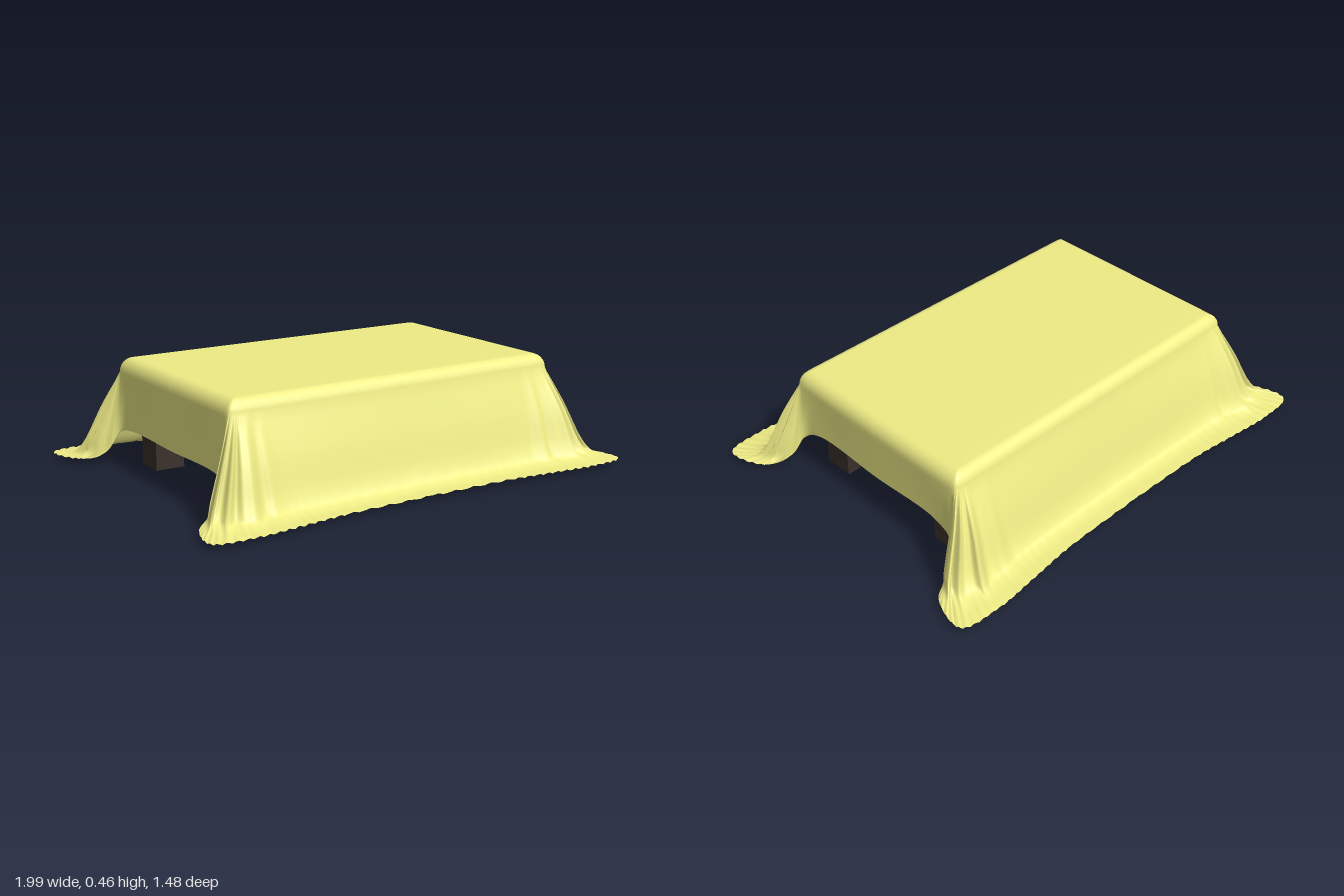
import * as THREE from 'three';
import { mergeVertices } from 'three/addons/utils/BufferGeometryUtils.js';

const TOP = 0.463, SEG = 14, ARC = 6, DROP = 18;

// Hanging lines of one cloth corner, from the middle of the side to the middle of the front.
// Each line: shoulder, middle, low, hem. sideHem is the height of the short side flap.
function hangingLines(sideHem) {
  const flap = (z) => [[0.78, 0.4, z], [0.78, 0.32, z], [0.78, 0.25, z], [0.78, sideHem, z]];
  return [
    flap(0),
    flap(0.36),
    [[0.78, 0.4, 0.43], [0.785, 0.3, 0.43], [0.79, 0.2, 0.44], [0.79, 0.14, 0.45]],
    [[0.779, 0.4, 0.455], [0.795, 0.28, 0.465], [0.825, 0.13, 0.475], [0.87, 0.035, 0.5]],
    [[0.776, 0.4, 0.467], [0.825, 0.27, 0.495], [0.89, 0.11, 0.525], [0.95, 0.025, 0.55]],
    [[0.765, 0.4, 0.475], [0.825, 0.25, 0.525], [0.9, 0.06, 0.58], [0.99, 0.022, 0.715]],
    [[0.74, 0.4, 0.48], [0.77, 0.24, 0.555], [0.8, 0.05, 0.63], [0.82, 0.022, 0.742]],
    [[0.62, 0.4, 0.481], [0.62, 0.24, 0.54], [0.61, 0.05, 0.605], [0.62, 0.022, 0.725]],
    [[0.4, 0.4, 0.481], [0.4, 0.24, 0.535], [0.4, 0.05, 0.595], [0.4, 0.022, 0.703]],
    [[0, 0.4, 0.481], [0, 0.24, 0.53], [0, 0.05, 0.59], [0, 0.022, 0.696]]
  ];
}

function clothGeometry() {
  const position = [], index = [];
  for (const sx of [1, -1]) for (const sz of [1, -1]) {
    const lines = hangingLines(sx > 0 ? 0.188 : 0.16);
    const guides = [0, 1, 2, 3].map((k) =>
      new THREE.CatmullRomCurve3(lines.map((l) => new THREE.Vector3(...l[k]))));
    const columns = (lines.length - 1) * SEG;
    const rows = 1 + ARC + DROP;
    const base = position.length / 3;

    for (let i = 0; i <= columns; i++) {
      const u = i / columns;
      const [shoulder, middle, low, hem] = guides.map((g) => g.getPoint(u));
      // the cloth breaks where it meets the floor
      const foot = low.clone().lerp(hem, 0.35);
      foot.y = THREE.MathUtils.lerp(low.y, hem.y, 0.75);
      const fall = new THREE.CatmullRomCurve3([shoulder, middle, low, foot, hem]);
      const rim = new THREE.Vector3(Math.min(shoulder.x, 0.725), TOP, Math.min(shoulder.z, 0.43));

      // gathered pleats round the corner, fading into the flat flaps
      const c = u * (lines.length - 1);
      const gather = THREE.MathUtils.smoothstep(c, 2.6, 4) * (1 - THREE.MathUtils.smoothstep(c, 6, 7.4));
      const pleat = gather * (Math.sin(c * 8.5 + sx * 0.6) + 0.5 * Math.sin(c * 15 + sz));
      const ripple = THREE.MathUtils.smoothstep(c, 3.2, 4.5) * Math.sin(c * 9 * Math.PI) * 0.004;

      const column = [new THREE.Vector3(0, TOP, 0)];
      for (let j = 0; j < ARC; j++) {
        const a = (j / ARC) * Math.PI / 2;
        column.push(new THREE.Vector3(
          THREE.MathUtils.lerp(rim.x, shoulder.x, Math.sin(a)),
          THREE.MathUtils.lerp(shoulder.y, rim.y, Math.cos(a)),
          THREE.MathUtils.lerp(rim.z, shoulder.z, Math.sin(a))));
      }
      for (let j = 0; j <= DROP; j++) {
        const v = j / DROP, p = fall.getPoint(v);
        const depth = 0.013 * pleat * Math.sin(Math.PI * Math.min(v * 1.1, 1));
        p.x += depth * 0.5;
        p.z += depth;
        p.y = Math.max(p.y + ripple * v * v + Math.abs(pleat) * 0.007 * v * v * (1 - v) * 4, 0.018);
        column.push(p);
      }
      column.forEach((p) => position.push(p.x * sx, p.y, p.z * sz));
    }

    for (let i = 0; i < columns; i++) for (let j = 0; j < rows; j++) {
      const a = base + i * (rows + 1) + j, b = a + rows + 1;
      if (sx * sz > 0) index.push(a, b, a + 1, b, b + 1, a + 1);
      else index.push(a, a + 1, b, b, a + 1, b + 1);
    }
  }
  const geometry = new THREE.BufferGeometry();
  geometry.setAttribute('position', new THREE.Float32BufferAttribute(position, 3));
  geometry.setIndex(index);
  const welded = mergeVertices(geometry, 1e-4);
  welded.computeVertexNormals();
  return welded;
}

export function createModel() {
  const group = new THREE.Group();
  const add = (name, geometry, color, x, y, z, side = THREE.FrontSide) => {
    const mesh = new THREE.Mesh(geometry, new THREE.MeshStandardMaterial({ color, side }));
    mesh.name = name;
    mesh.position.set(x, y, z);
    group.add(mesh);
  };

  // draped cloth
  add('cloth', clothGeometry(), 0xefec86, 0, 0, 0, THREE.DoubleSide);

  // covered body
  add('base', new THREE.BoxGeometry(1.53, 0.21, 0.92), 0x555555, 0, 0.295, 0);

  // four square legs
  for (const sx of [1, -1]) for (const sz of [1, -1]) {
    const name = (sz > 0 ? 'front' : 'back') + (sx > 0 ? 'Left' : 'Right') + 'Leg';
    add(name, new THREE.BoxGeometry(0.13, 0.19, 0.13), 0x3a302a, sx * 0.65, 0.095, sz * 0.335);
  }
  return group;
}
